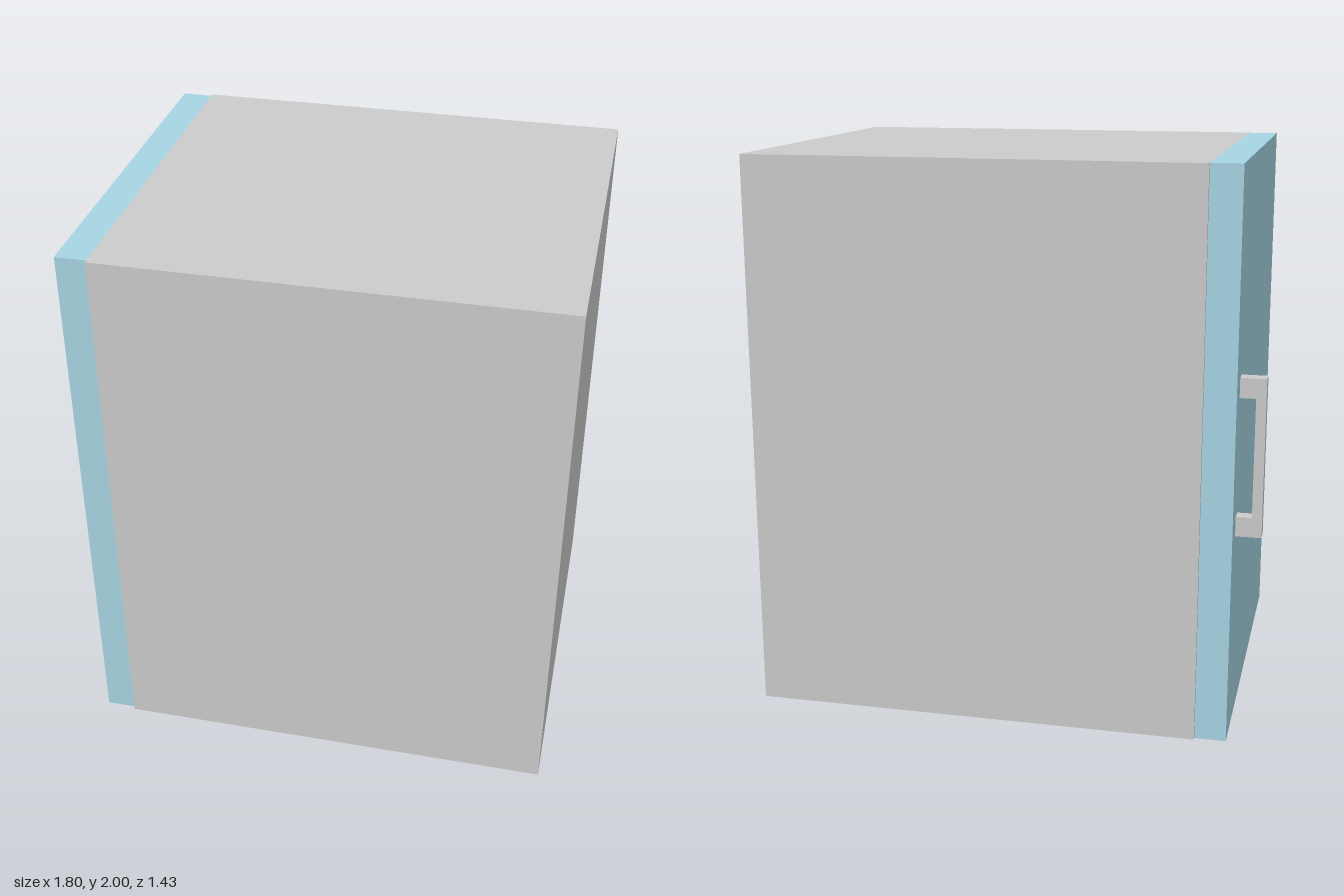
import * as THREE from 'three';

export function createModel() {
  const model = new THREE.Group();
  const grey = new THREE.MeshStandardMaterial({ color: 0xcccccc });
  const blue = new THREE.MeshStandardMaterial({ color: 0xa6d5e3 });

  const add = (name, geometry, material, x, y, z) => {
    const mesh = new THREE.Mesh(geometry, material);
    mesh.name = name;
    mesh.position.set(x, y, z);
    model.add(mesh);
  };

  // Cabinet body, from x = -0.70 to 0.90
  add('cabinetBody', new THREE.BoxGeometry(1.6, 2, 1.43), grey, 0.1, 1, 0);

  // Door slab on the right side, slightly narrower than the body
  add('door', new THREE.BoxGeometry(0.11, 2, 1.404), blue, -0.755, 1, 0);

  // C-shaped pull handle: two stubs joined by a thin grip
  const outline = [
    [0, -0.28], [0, -0.21], [-0.055, -0.21], [-0.055, 0.21],
    [0, 0.21], [0, 0.28], [-0.09, 0.28], [-0.09, -0.28],
  ].map(([x, y]) => new THREE.Vector2(x, y));
  const handle = new THREE.ExtrudeGeometry(new THREE.Shape(outline), { depth: 0.05, bevelEnabled: false });
  add('doorHandle', handle, grey, -0.81, 1, -0.6);

  return model;
}
